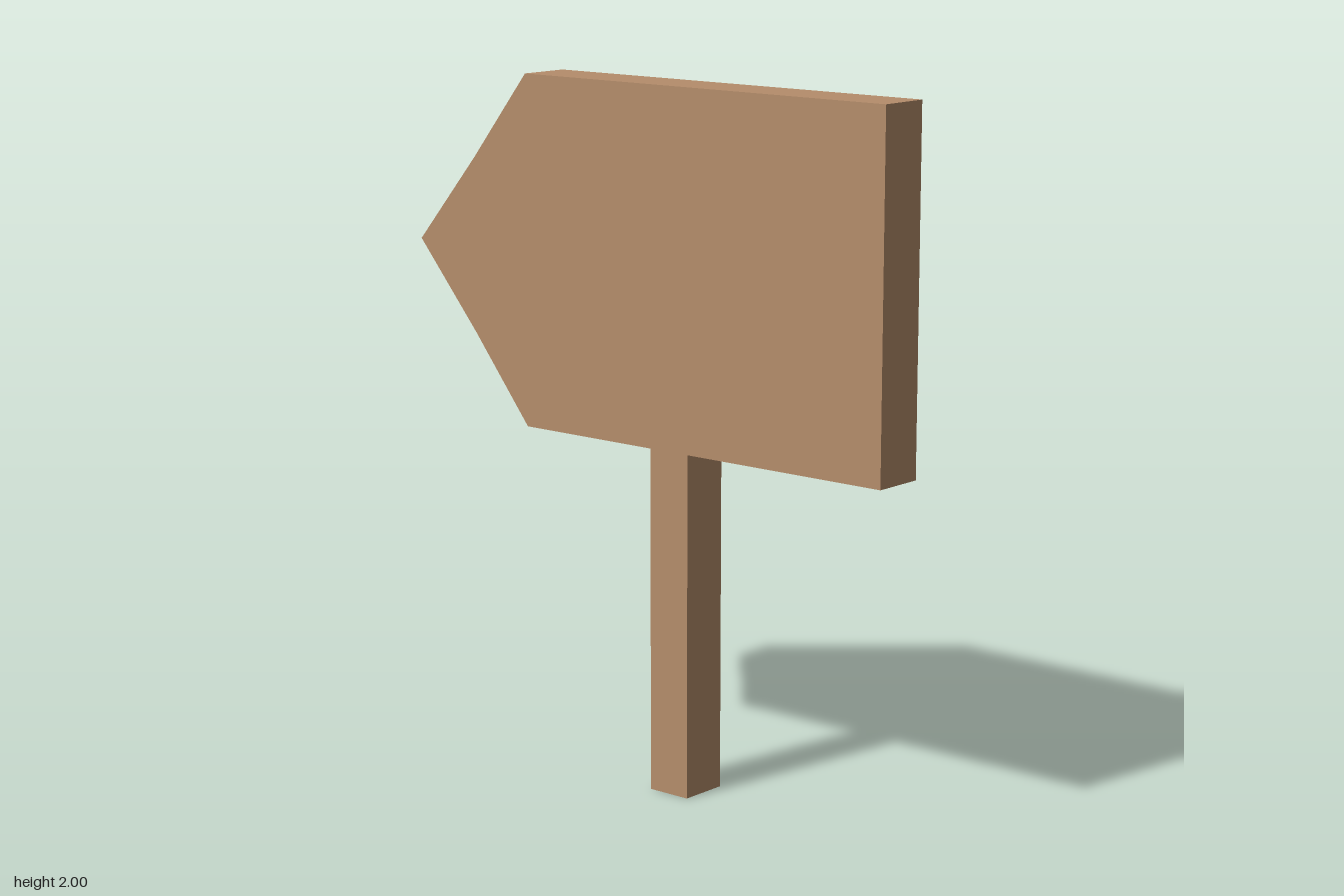
import * as THREE from 'three';

export function createModel() {
  const group = new THREE.Group();
  const wood = new THREE.MeshStandardMaterial({ color: 0xb58d6b });
  wood.name = 'tan wood';

  // Arrow board: outline as (z, y), pointing to -z, with slightly hollowed tip edges
  const outline = [
    [0.84, 0.99], [0.84, 2], [-0.42, 2], [-0.62, 1.75],
    [-0.838, 1.495], [-0.62, 1.24], [-0.42, 0.99],
  ].map(([z, y]) => new THREE.Vector2(z, y));
  const thickness = 0.156;
  const boardGeometry = new THREE.ExtrudeGeometry(new THREE.Shape(outline), {
    depth: thickness,
    bevelEnabled: false,
  });
  boardGeometry.translate(0, 0, -thickness / 2).rotateY(-Math.PI / 2);
  const board = new THREE.Mesh(boardGeometry, wood);
  board.name = 'arrowBoard';
  group.add(board);

  // Square post, set a little forward of centre
  const post = new THREE.Mesh(new THREE.BoxGeometry(0.146, 0.99, 0.134), wood);
  post.name = 'post';
  post.position.set(0, 0.495, 0.108);
  group.add(post);

  return group;
}
